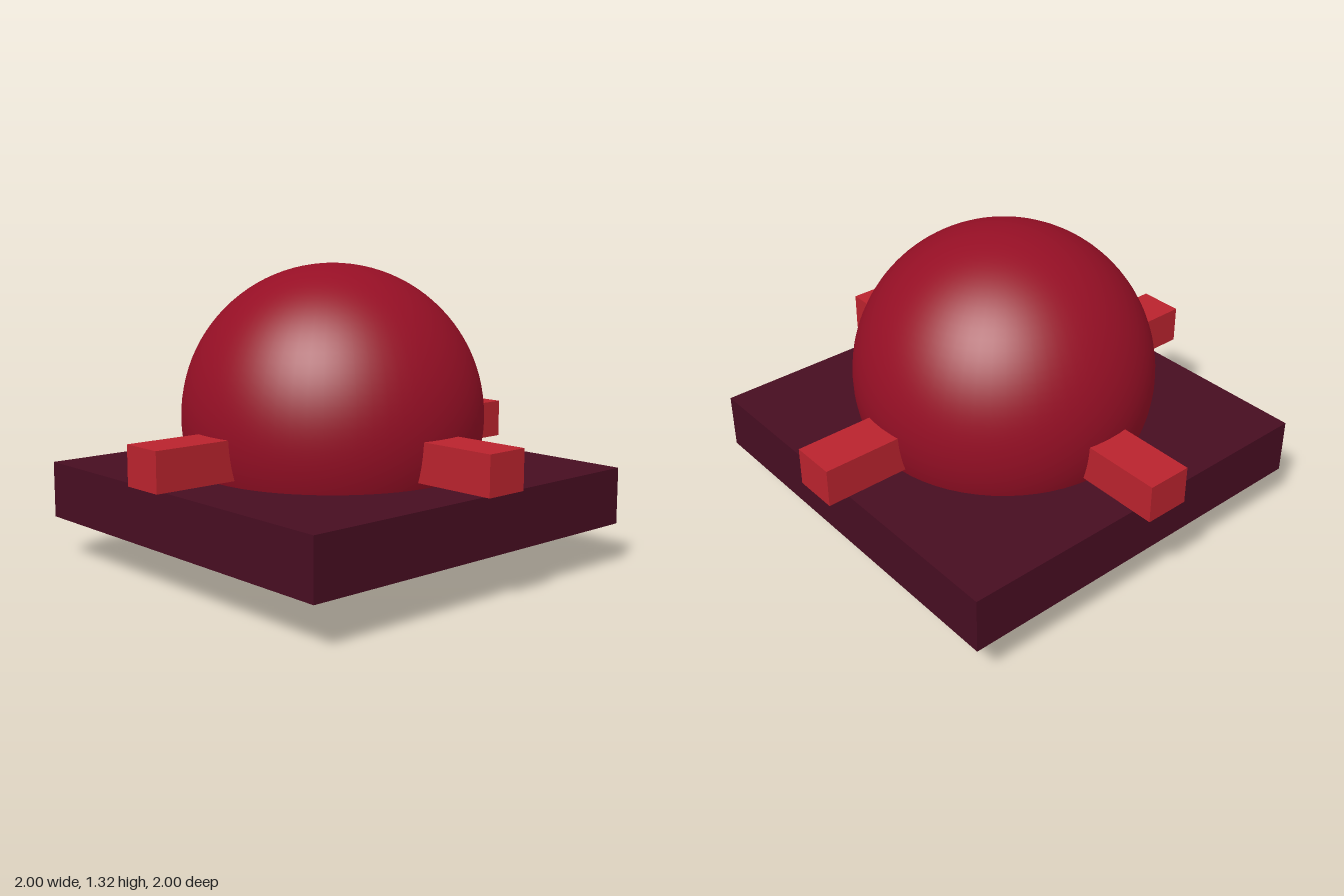
import * as THREE from 'three';

function material(name, color) {
  const m = new THREE.MeshStandardMaterial({ color });
  m.name = name;
  return m;
}

export function createModel() {
  const model = new THREE.Group();
  const crimson = material('crimson', 0x960f25);
  const maroon = material('dark maroon', 0x470d21);
  const red = material('bright red', 0xba232d);

  const add = (name, geometry, mat, x, y, z) => {
    const mesh = new THREE.Mesh(geometry, mat);
    mesh.name = name;
    mesh.position.set(x, y, z);
    model.add(mesh);
    return mesh;
  };

  // Smooth ball resting on the ground
  const radius = 0.662;
  add('ball', new THREE.SphereGeometry(radius, 64, 48), crimson, 0, radius, 0);

  // Square slab around the lower part of the ball
  add('slab', new THREE.BoxGeometry(1.77, 0.25, 1.77), maroon, 0, 0.31, 0);

  // Four square pegs, rooted inside the ball and pointing outwards
  const inner = 0.5, outer = 1;
  const peg = new THREE.BoxGeometry(0.2, 0.17, outer - inner);
  const middle = (inner + outer) / 2;
  ['frontPeg', 'leftPeg', 'backPeg', 'rightPeg'].forEach((name, i) => {
    const angle = i * Math.PI / 2;
    const mesh = add(name, peg, red, Math.sin(angle) * middle, 0.55, Math.cos(angle) * middle);
    mesh.rotation.y = angle;
  });

  return model;
}
